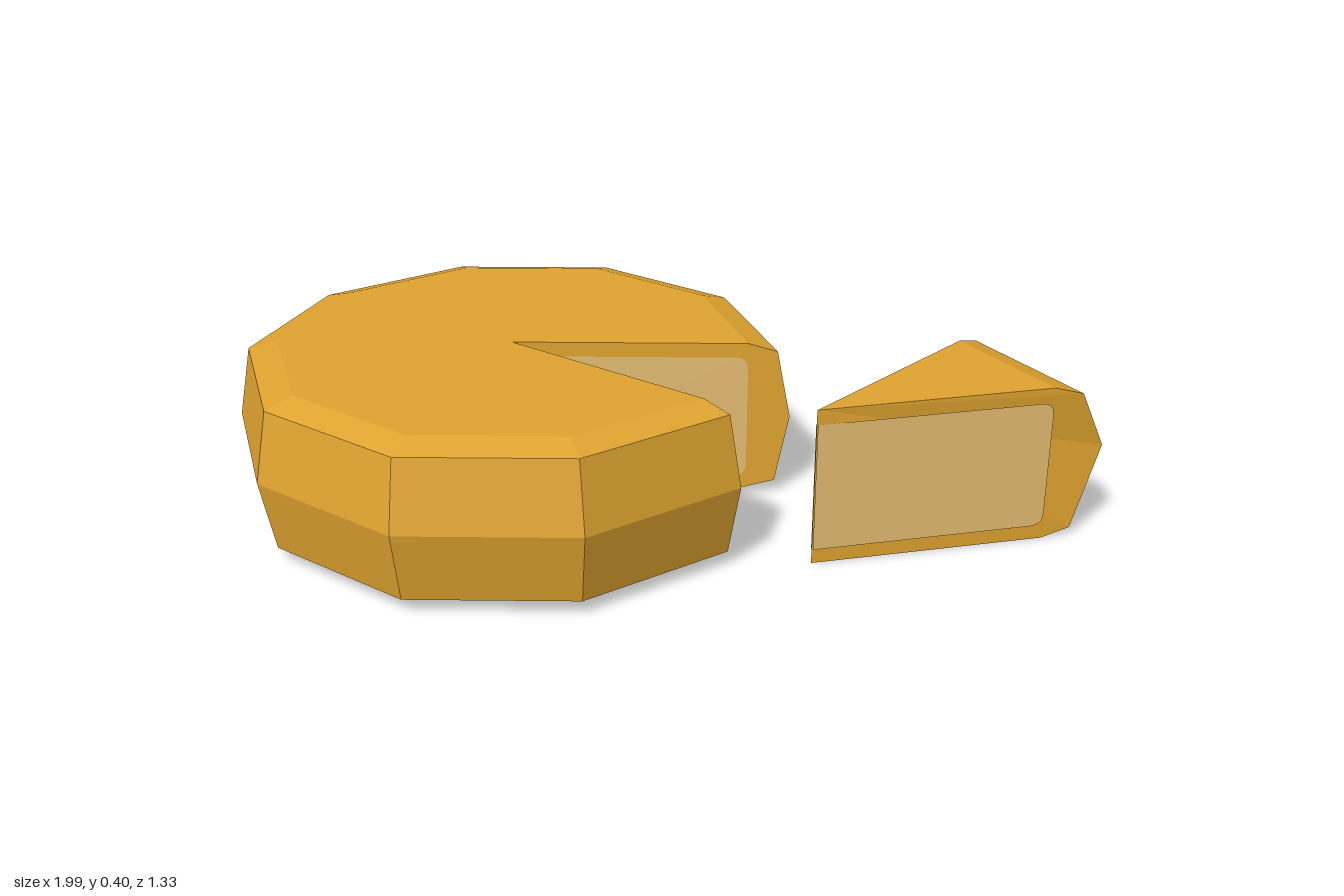
import * as THREE from 'three';

const rind = new THREE.MeshStandardMaterial({ color: 0xe0a430, flatShading: true });
rind.name = 'golden rind';
const paste = new THREE.MeshStandardMaterial({ color: 0xe6bd74, side: THREE.DoubleSide });
paste.name = 'pale paste';

const rad = THREE.MathUtils.degToRad;

// Faceted sector: profile rows are [radius, y, squeeze of the angle about the sector's middle]
function sectorGeometry(profile, start, end, segments) {
  const mid = (start + end) / 2;
  const point = (i, j) => {
    const [r, y, squeeze = 1] = profile[j];
    const a = rad(mid + (start + (end - start) * i / segments - mid) * squeeze);
    return [r * Math.cos(a), y, -r * Math.sin(a)];
  };
  const pos = [];
  const tri = (...corners) => corners.forEach((c) => pos.push(...c));
  const last = profile.length - 1;
  for (let i = 0; i < segments; i++) {
    for (let j = 0; j < last; j++) {
      const a = point(i, j), b = point(i, j + 1), c = point(i + 1, j + 1), d = point(i + 1, j);
      if (j < last - 1) tri(a, b, c);
      if (j > 0) tri(a, c, d);
    }
  }
  // Cut faces at both ends
  for (let j = 1; j < last; j++) {
    tri(point(0, 0), point(0, j + 1), point(0, j));
    tri(point(segments, 0), point(segments, j), point(segments, j + 1));
  }
  const geo = new THREE.BufferGeometry();
  geo.setAttribute('position', new THREE.Float32BufferAttribute(pos, 3));
  geo.computeVertexNormals();
  return geo;
}

// Pale panel with rounded outer corners, lying on a cut face
function cutPanel(name, angle, side, length, bottom, top) {
  const c = 0.03;
  const s = new THREE.Shape();
  s.moveTo(0.002, bottom);
  s.lineTo(length - c, bottom);
  s.quadraticCurveTo(length, bottom, length, bottom + c);
  s.lineTo(length, top - c);
  s.quadraticCurveTo(length, top, length - c, top);
  s.lineTo(0.002, top);
  const geo = new THREE.ShapeGeometry(s, 4);
  if (side < 0) geo.scale(1, 1, -1).rotateX(Math.PI).translate(0, bottom + top, 0);
  geo.translate(0, 0, side * 0.003);
  const mesh = new THREE.Mesh(geo, paste);
  mesh.rotation.y = rad(angle);
  mesh.name = name;
  return mesh;
}

function cheesePart(name, profile, start, end, segments, panel) {
  const group = new THREE.Group();
  group.name = name;
  const body = new THREE.Mesh(sectorGeometry(profile, start, end, segments), rind);
  body.name = name + 'Rind';
  group.add(
    body,
    cutPanel(name + 'CutStart', start, 1, ...panel),
    cutPanel(name + 'CutEnd', end, -1, ...panel),
  );
  return group;
}

export function createModel() {
  const model = new THREE.Group();
  model.name = 'cheese';

  // Ten-sided wheel with one segment missing
  const wheel = cheesePart('wheel', [
    [0, 0.395], [0.56, 0.395], [0.63, 0.375], [0.663, 0.207], [0.63, 0.037], [0.56, 0.018], [0, 0.018],
  ], 18, 342, 9, [0.56, 0.05, 0.36]);
  wheel.position.x = -0.37;

  // Slice pulled out and turned
  const slice = cheesePart('slice', [
    [0, 0.38], [0.56, 0.38], [0.63, 0.36], [0.697, 0.22, 0.94], [0.63, 0.02], [0.56, 0], [0, 0],
  ], 31.7, 66.7, 1, [0.56, 0.035, 0.345]);
  slice.position.set(0.405, 0, 0.12);

  model.add(wheel, slice);
  return model;
}
